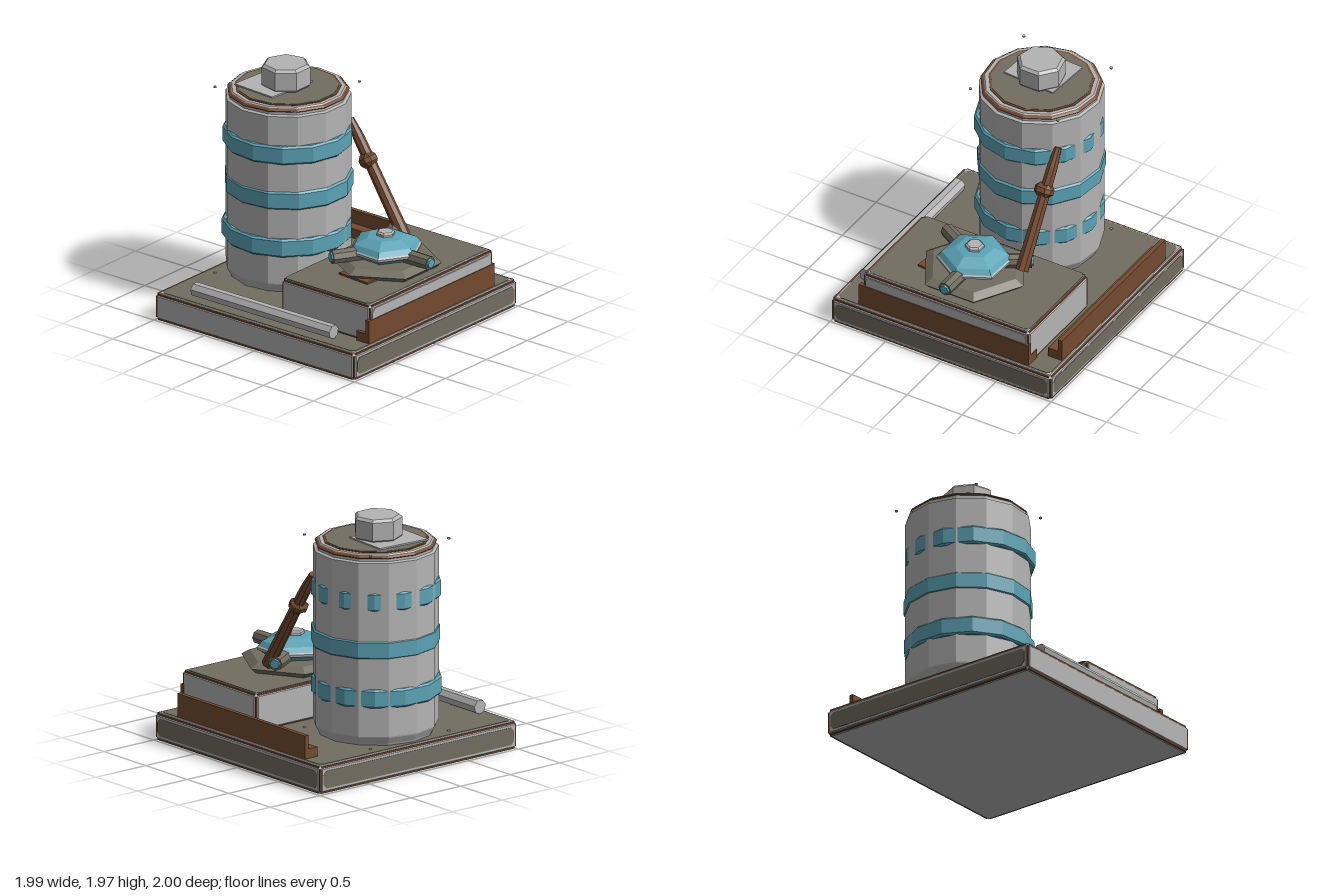
import * as THREE from 'three';
import { ConvexGeometry } from 'three/addons/geometries/ConvexGeometry.js';

const material = (name, color) => {
  const m = new THREE.MeshStandardMaterial({ color });
  m.name = name;
  return m;
};

export function createModel() {
  const light = material('light metal', 0xb4b4b4);
  const olive = material('olive panel', 0x726d60);
  const rust = material('rust brown', 0x744a2f);
  const teal = material('teal paint', 0x5ba3b5);
  const model = new THREE.Group();

  const add = (name, geometry, mat, x = 0, y = 0, z = 0, parent = model) => {
    const mesh = new THREE.Mesh(geometry, mat);
    mesh.name = name;
    mesh.position.set(x, y, z);
    parent.add(mesh);
    return mesh;
  };
  const flat = (geometry) => {
    const g = geometry.index ? geometry.toNonIndexed() : geometry;
    g.computeVertexNormals();
    return g;
  };
  // Faceted turned part; the first corner points to +z
  const turned = (profile, sides) =>
    flat(new THREE.LatheGeometry(profile.map((p) => new THREE.Vector2(...p)), sides));
  const cylinder = (r1, r2, h, sides) => flat(new THREE.CylinderGeometry(r1, r2, h, sides));

  // Box with every edge cut at 45 degrees
  const chamferBox = (w, h, d, c) => {
    const points = [];
    for (const i of [-1, 1]) for (const j of [-1, 1]) for (const k of [-1, 1]) {
      const [x, y, z] = [w / 2, h / 2, d / 2];
      points.push(
        new THREE.Vector3(i * x, j * (y - c), k * (z - c)),
        new THREE.Vector3(i * (x - c), j * y, k * (z - c)),
        new THREE.Vector3(i * (x - c), j * (y - c), k * z));
    }
    return new ConvexGeometry(points);
  };
  // Thin plate with clipped corners, facing +z
  const plate = (w, h, c, t = 0.008) => {
    const [x, y] = [w / 2, h / 2];
    const s = new THREE.Shape([[-x + c, -y], [x - c, -y], [x, -y + c], [x, y - c],
      [x - c, y], [-x + c, y], [-x, y - c], [-x, -y + c]].map((p) => new THREE.Vector2(...p)));
    return new THREE.ExtrudeGeometry(s, { depth: t, bevelEnabled: false });
  };
  // Light chamfered block with worn rust strips along its edges
  const wornBlock = (name, w, h, d, x, y, z) => {
    const g = new THREE.Group();
    g.name = name;
    g.position.set(x, y, z);
    model.add(g);
    const c = 0.026, t = 0.013;
    add(name + 'Body', chamferBox(w, h, d, c), light, 0, 0, 0, g);
    const [a, b, e] = [(w - c) / 2, (h - c) / 2, (d - c) / 2];
    for (const i of [-1, 1]) for (const j of [-1, 1]) {
      add('edgeStrip', new THREE.BoxGeometry(w - 2 * c, t, t), rust, 0, i * b, j * e, g);
      add('edgeStrip', new THREE.BoxGeometry(t, h - 2 * c, t), rust, i * a, 0, j * e, g);
      add('edgeStrip', new THREE.BoxGeometry(t, t, d - 2 * c), rust, i * a, j * b, 0, g);
    }
    return g;
  };

  // Square base with inset panels
  const base = wornBlock('base', 1.99, 0.228, 1.99, 0, 0.114, 0);
  const side = plate(1.92, 0.14, 0.03);
  add('frontPanel', side, olive, 0, 0, 0.99, base);
  add('backPanel', side, olive, 0, 0, -0.99, base).rotation.y = Math.PI;
  add('sidePanel', side, olive, 0.99, 0, 0, base).rotation.y = Math.PI / 2;
  add('deckPanel', plate(1.92, 1.92, 0.03), olive, 0, 0.11, 0, base).rotation.x = -Math.PI / 2;

  // Raised block at the front
  const block = wornBlock('block', 1.5, 0.315, 0.89, 0.0125, 0.378, 0.5);
  add('blockTopPanel', plate(1.455, 0.85, 0.03), olive, 0, 0.152, -0.01, block)
    .rotation.x = -Math.PI / 2;
  add('blockFrontPanel', plate(1.45, 0.25, 0.03), light, 0, 0, 0.441, block);

  // L-section rails along the right and front edges
  const section = new THREE.Shape([[0.83, 0.22], [0.957, 0.22], [0.957, 0.42], [0.92, 0.42],
    [0.92, 0.31], [0.83, 0.31]].map((p) => new THREE.Vector2(...p)));
  const railGeometry = new THREE.ExtrudeGeometry(section, { depth: 1.535, bevelEnabled: false });
  railGeometry.translate(0, 0, -0.7675);
  add('sideRail', railGeometry, rust);
  add('frontRail', railGeometry, rust).rotation.y = -Math.PI / 2;

  // Loose pipe lying on the deck
  add('pipe', cylinder(0.058, 0.058, 1.385, 7), light, -0.868, 0.295, -0.005)
    .rotation.x = Math.PI / 2;

  // Tank
  const SIDES = 13, cx = 0.006, cz = -0.484;
  const tank = new THREE.Group();
  tank.name = 'tank';
  tank.position.set(cx, 0, cz);
  tank.rotation.y = Math.PI;
  model.add(tank);
  add('tankBody', turned([[0, 0.225], [0.45, 0.225], [0.46, 0.25], [0.488, 0.3], [0.491, 0.31],
    [0.491, 1.705], [0.468, 1.715], [0.468, 1.745], [0.445, 1.77], [0, 1.77]], SIDES),
  light, 0, 0, 0, tank);
  add('outerRimLine', turned([[0.472, 1.737], [0.478, 1.745], [0.466, 1.757], [0.455, 1.762]], SIDES),
    rust, 0, 0, 0, tank);
  add('innerRimLine', turned([[0.415, 1.765], [0.415, 1.775], [0.385, 1.775]], SIDES),
    rust, 0, 0, 0, tank);
  add('tankLid', turned([[0.397, 1.765], [0.397, 1.778], [0, 1.778]], SIDES), olive, 0, 0, 0, tank);

  // Teal bands: y, radius, centre x, centre z, turn
  for (const [y, r, x, z, turn] of [[0.54, 0.508, -0.003, -0.485, 0],
    [0.93, 0.502, 0.007, -0.479, Math.PI], [1.315, 0.505, -0.007, -0.475, 0]]) {
    add('tankBand', turned([[r - 0.04, y], [r - 0.015, y], [r, y + 0.015], [r, y + 0.135],
      [r - 0.015, y + 0.15], [r - 0.04, y + 0.15]], SIDES), teal, x, 0, z).rotation.y = turn;
  }

  // Cap on a square plate
  add('capPlate', new THREE.BoxGeometry(0.46, 0.012, 0.4), light, -0.04, 1.783, -0.59)
    .rotation.y = -0.07;
  add('cap', turned([[0, 1.78], [0.175, 1.78], [0.193, 1.8], [0.193, 1.945], [0.17, 1.966],
    [0, 1.966]], 7), light, -0.005, 0, -0.495).rotation.y = Math.PI;

  // Small bolts at the tank corners, above and below
  for (const x of [-0.395, 0.395]) for (const z of [-0.885, -0.09]) for (const y of [0.235, 1.785]) {
    add('bolt', cylinder(0.012, 0.012, 0.012, 6), light, x, y, z);
  }

  // Turret foot and the plate under it
  add('turretPlate', new THREE.BoxGeometry(0.32, 0.02, 0.3), rust, -0.245, 0.544, 0.515)
    .rotation.y = -0.09;
  add('turretFoot', turned([[0, 0.535], [0.39, 0.535], [0.44, 0.578], [0.37, 0.62], [0, 0.62]], 6),
    olive, 0, 0, 0.495).rotation.y = Math.PI / 6;

  // Turret dome with trim and knob
  const turret = new THREE.Group();
  turret.name = 'turret';
  turret.position.set(0, 0, 0.495);
  model.add(turret);
  const turn = -0.04;
  const domePart = (name, profile, mat) => {
    add(name, turned(profile, 6), mat, 0, 0, 0, turret).rotation.y = turn;
  };
  domePart('turretBody', [[0.21, 0.61], [0.275, 0.66]], teal);
  domePart('turretTrim', [[0.265, 0.655], [0.295, 0.665], [0.298, 0.685], [0.28, 0.7]], light);
  domePart('turretDome', [[0.288, 0.692], [0.255, 0.735], [0.15, 0.782], [0, 0.79]], teal);
  domePart('turretKnob', [[0.075, 0.775], [0.075, 0.805], [0.06, 0.817], [0, 0.817]], light);

  // Three nozzles around the turret
  for (let i = 0; i < 3; i++) {
    const arm = new THREE.Group();
    arm.name = 'nozzle';
    arm.rotation.y = i * Math.PI * 2 / 3;
    turret.add(arm);
    add('nozzleBarrel', cylinder(0.057, 0.06, 0.27, 8), olive, 0, 0.66, 0.31, arm)
      .rotation.x = Math.PI / 2;
    add('nozzleTip', cylinder(0.038, 0.045, 0.018, 8), teal, 0, 0.66, 0.45, arm)
      .rotation.x = Math.PI / 2;
  }

  // Slanted lever with collar and tapered end
  const lever = new THREE.Group();
  lever.name = 'lever';
  lever.position.set(0.36, 0.63, 0.385);
  lever.rotation.x = -Math.atan2(0.53, 0.83);
  model.add(lever);
  add('leverRod', cylinder(0.045, 0.054, 0.84, 8), rust, 0, 0.42, 0, lever);
  add('leverEnd', cylinder(0.03, 0.045, 0.16, 8), rust, 0, 0.92, 0, lever);
  add('leverCollar', chamferBox(0.145, 0.11, 0.13, 0.035), rust, -0.01, 0.65, 0, lever);

  return model;
}
